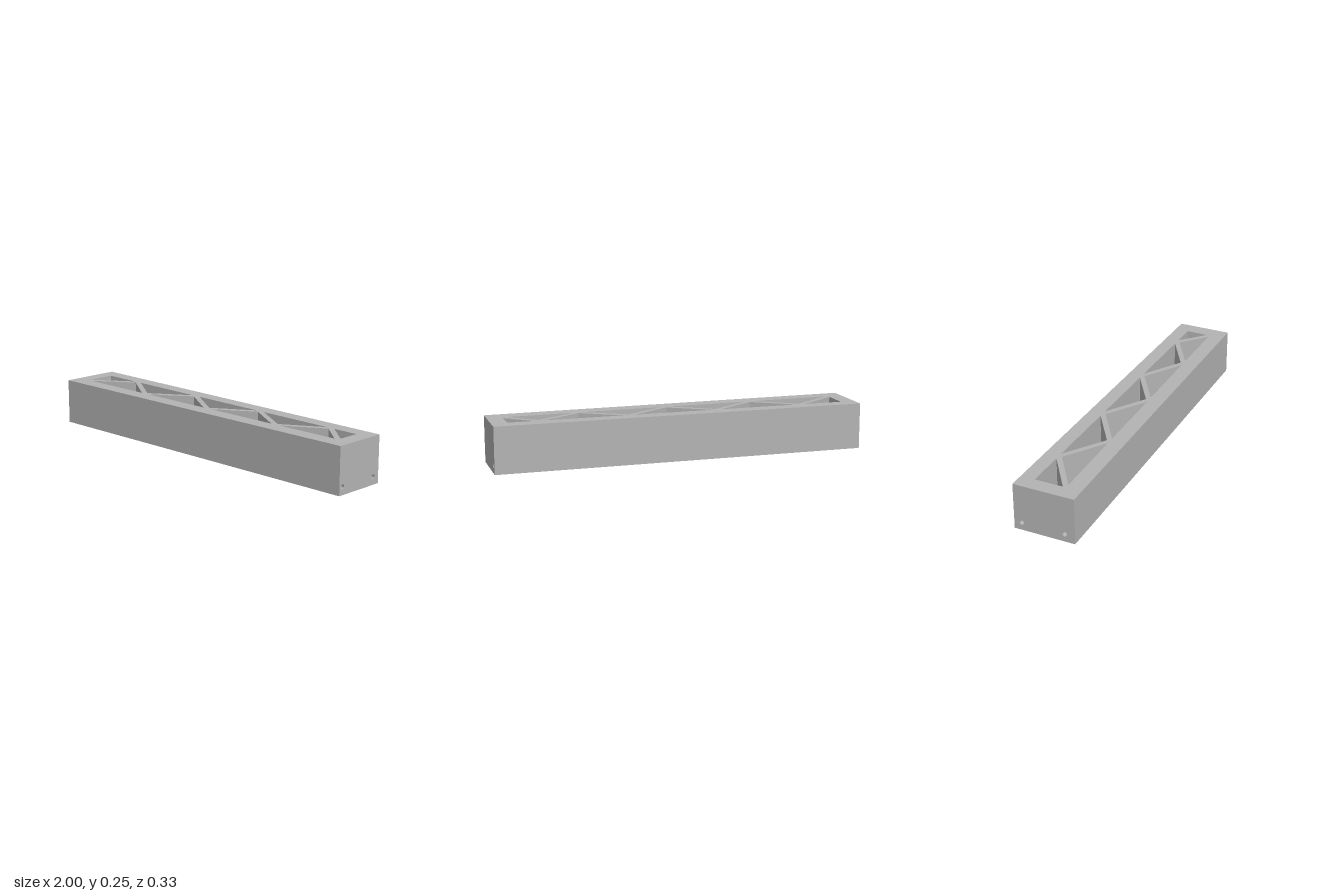
import * as THREE from 'three';

const H = 0.248;            // height of the beam
const BACK = -0.164;        // outer face of the back rail
const BACK_IN = -0.088;     // inner face of the back rail
const TAPER = -0.016;       // slope of the front rail in plan
const frontIn = x => 0.065 + TAPER * x;
const HOLE_Y = 0.041, HOLE_R = 0.0125;

export function createModel() {
  const group = new THREE.Group();
  const grey = new THREE.MeshStandardMaterial({ color: 0xb3b3b3 });
  grey.name = 'lightGrey';

  const add = (name, geometry) => {
    const mesh = new THREE.Mesh(geometry, grey);
    mesh.name = name;
    group.add(mesh);
  };

  // Rail along x with a straight bore; the outer walls follow the taper
  const rail = (name, z0, z1, holeZ, taper) => {
    const shape = new THREE.Shape([[-z1, 0], [-z0, 0], [-z0, H], [-z1, H]]
      .map(p => new THREE.Vector2(...p)));
    shape.holes.push(new THREE.Path().absarc(-holeZ, HOLE_Y, HOLE_R, 0, Math.PI * 2, true));
    const geo = new THREE.ExtrudeGeometry(shape, { depth: 2, bevelEnabled: false, curveSegments: 32 });
    geo.rotateY(Math.PI / 2).translate(-1, 0, 0);
    const pos = geo.attributes.position;
    for (let i = 0; i < pos.count; i++) {
      const z = pos.getZ(i);
      const onBore = Math.hypot(z - holeZ, pos.getY(i) - HOLE_Y) < HOLE_R * 1.1;
      if (!onBore) pos.setZ(i, z + taper * pos.getX(i));
    }
    geo.computeVertexNormals();
    add(name, geo);
  };

  // Full-height prism from a plan outline of [x, z] points
  const prism = (name, points) => {
    const shape = new THREE.Shape(points.map(([x, z]) => new THREE.Vector2(x, -z)));
    const geo = new THREE.ExtrudeGeometry(shape, { depth: H, bevelEnabled: false });
    add(name, geo.rotateX(-Math.PI / 2));
  };

  rail('backRail', BACK, BACK_IN, -0.123, 0);
  rail('frontRail', 0.065, 0.148, 0.109, TAPER);

  // Solid end blocks
  const endBlock = (name, a, b) =>
    prism(name, [[a, BACK_IN], [b, BACK_IN], [b, frontIn(b)], [a, frontIn(a)]]);
  endBlock('rightEndBlock', -1, -0.92);
  endBlock('leftEndBlock', 0.917, 1);

  // Zigzag of diagonal webs between the rails
  const nodes = Array.from({ length: 9 }, (_, i) => {
    const x = Math.min(-0.92 + 0.2396 * i, 0.917);
    return { x, z: i % 2 ? BACK_IN : frontIn(x) };
  });
  for (let i = 0; i < 8; i++) {
    const [f, b] = i % 2 ? [nodes[i + 1], nodes[i]] : [nodes[i], nodes[i + 1]];
    const w = 0.014 * Math.hypot(f.x - b.x, f.z - b.z) / Math.abs(f.z - b.z);
    prism('diagonalWeb' + (i + 1), [
      [b.x - w, BACK_IN], [b.x + w, BACK_IN],
      [f.x + w, frontIn(f.x + w)], [f.x - w, frontIn(f.x - w)],
    ]);
  }
  return group;
}
